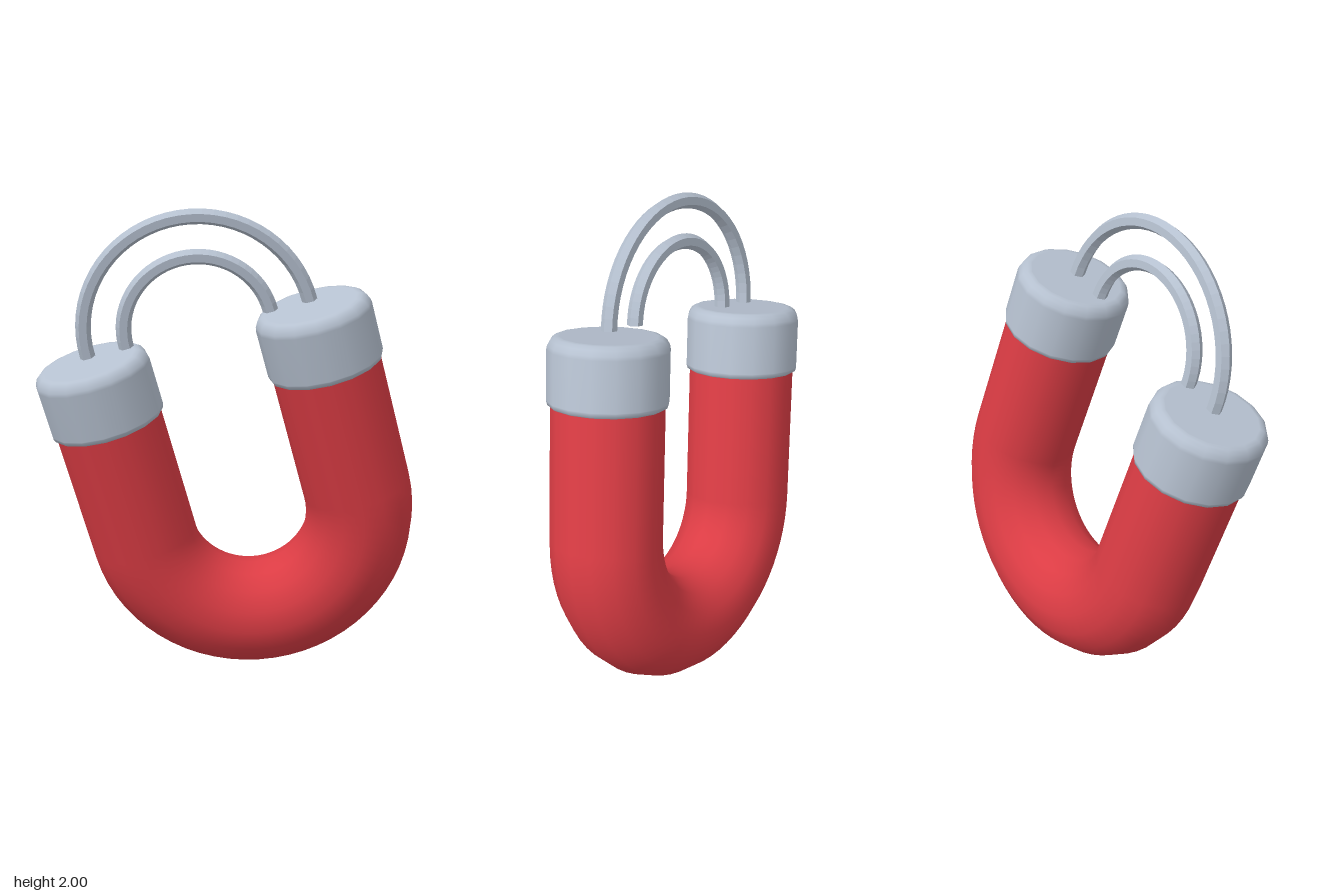
import * as THREE from 'three';
import { mergeGeometries } from 'three/addons/utils/BufferGeometryUtils.js';

const BEND = 0.47;      // radius of the U, leg axis to centre
const TUBE = 0.229;     // thickness radius of the red body
const LEG = 0.555;      // straight leg length above the bend
const CAP_H = 0.28;     // pole cap height
const WIRE = 0.032;     // field line thickness radius
const SIDES = 16;

export function createModel() {
  const red = new THREE.MeshStandardMaterial({ color: 0xdb3c44 });
  red.name = 'red';
  const grey = new THREE.MeshStandardMaterial({ color: 0xb6c1d0 });
  grey.name = 'lightGrey';

  const model = new THREE.Group();
  model.name = 'magnet';
  const add = (name, geometry, material) => {
    const mesh = new THREE.Mesh(geometry, material);
    mesh.name = name;
    model.add(mesh);
    return mesh;
  };

  // Red U: lower half ring with two straight legs
  add('bend', new THREE.TorusGeometry(BEND, TUBE, SIDES, 32, Math.PI).rotateZ(Math.PI), red);
  const legLength = LEG + 0.03;
  const leg = new THREE.CylinderGeometry(TUBE, TUBE, legLength, SIDES, 1);
  leg.translate(0, legLength / 2, 0);

  // Pole cap: short cylinder with rounded rims
  const R = 0.244;
  const profile = [
    [0, 0], [R - 0.022, 0], [R - 0.018, 0.001], [R - 0.005, 0.008], [R, 0.022], [R, 0.026],
    [R, CAP_H - 0.052], [R - 0.003, CAP_H - 0.036], [R - 0.014, CAP_H - 0.015],
    [R - 0.03, CAP_H - 0.003], [R - 0.045, CAP_H], [R - 0.05, CAP_H], [0, CAP_H],
  ].map(([x, y]) => new THREE.Vector2(x, y));
  const cap = new THREE.LatheGeometry(profile, SIDES);

  for (const [side, x] of [['left', BEND], ['right', -BEND]]) {
    add(side + 'Leg', leg, red).position.x = x;
    add(side + 'Cap', cap, grey).position.set(x, LEG, 0);
  }

  // Six-sided field arches, floating just above the caps
  for (const [name, r] of [['outerArch', BEND], ['innerArch', 0.305]]) {
    const arch = new THREE.TorusGeometry(r, WIRE, 6, 32, Math.PI);
    const ends = [r, -r].map((x) =>
      new THREE.CircleGeometry(WIRE, 6).rotateX(Math.PI / 2).translate(x, 0, 0));
    const geometry = mergeGeometries([arch, ...ends]).toNonIndexed();
    geometry.computeVertexNormals(); // faceted
    add(name, geometry, grey).position.y = LEG + CAP_H + 0.02;
  }

  // Tilt the whole magnet
  const up = new THREE.Vector3(-0.296, 0.954, 0.043).normalize();
  const across = new THREE.Vector3(0.876, 0.257, 0.408);
  const facing = new THREE.Vector3().crossVectors(across, up).normalize();
  across.crossVectors(up, facing);
  model.quaternion.setFromRotationMatrix(new THREE.Matrix4().makeBasis(across, up, facing));
  model.position.set(0.1, 0.692, -0.02);

  const root = new THREE.Group();
  root.name = 'tiltedMagnet';
  root.add(model);
  return root;
}
